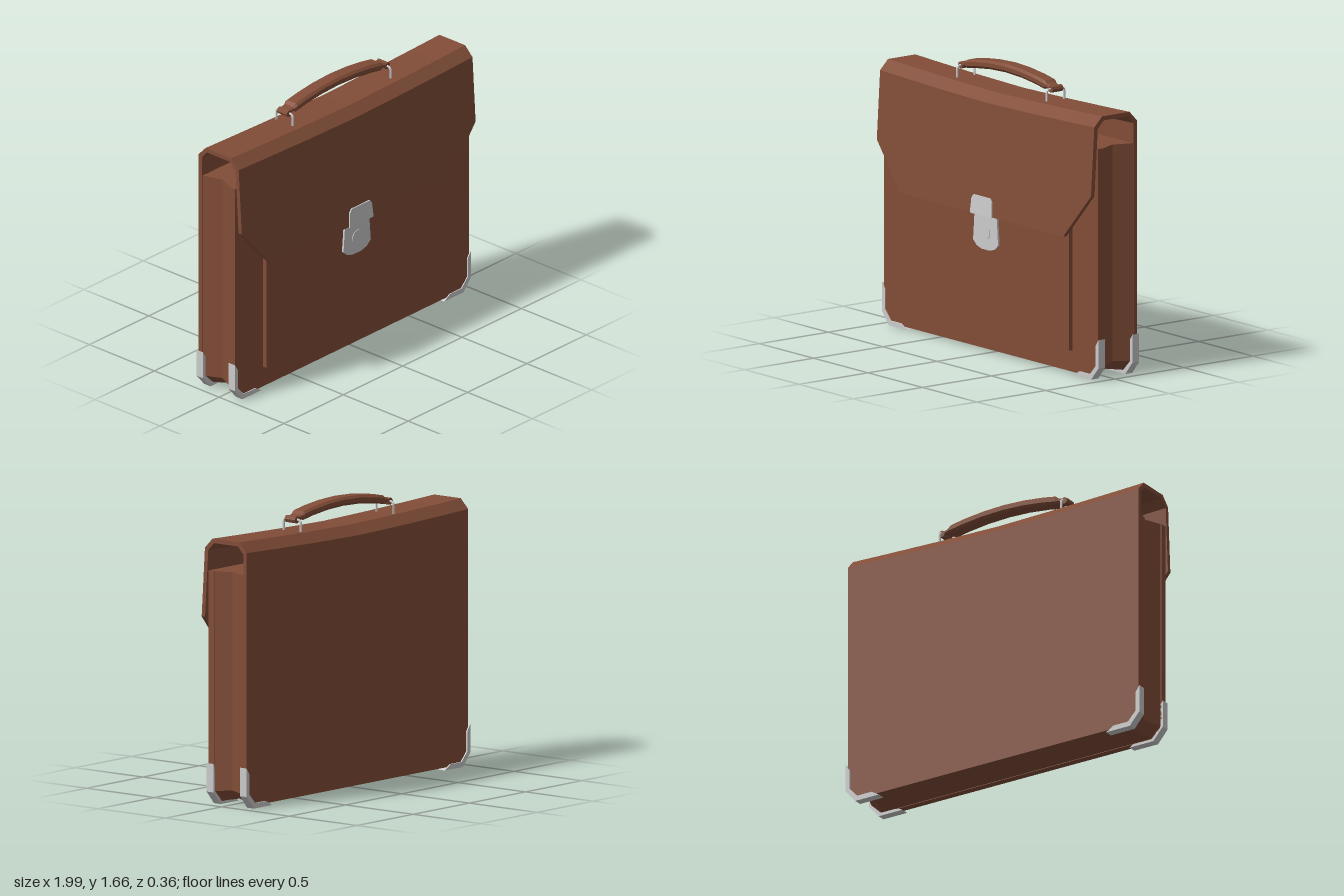
import * as THREE from 'three';

const leather = new THREE.MeshStandardMaterial({ color: 0x824d38, flatShading: true, side: THREE.DoubleSide });
const metal = new THREE.MeshStandardMaterial({ color: 0xcccccc, flatShading: true });

// Skin closed rings of [x, y, z] points and cap both ends with paired strips
function loft(rings) {
  const n = rings[0].length, index = [];
  const quad = (a, b, c, d) => index.push(a, b, c, a, c, d);
  for (let r = 0; r < rings.length - 1; r++) {
    for (let i = 0; i < n; i++) {
      const j = (i + 1) % n;
      quad(r * n + i, r * n + j, (r + 1) * n + j, (r + 1) * n + i);
    }
  }
  const last = (rings.length - 1) * n;
  for (let i = 0; i < n / 2 - 1; i++) {
    quad(last + i, last + i + 1, last + n - 2 - i, last + n - 1 - i);
    quad(n - 1 - i, n - 2 - i, i + 1, i);
  }
  const g = new THREE.BufferGeometry();
  g.setAttribute('position', new THREE.Float32BufferAttribute(rings.flat(2), 3));
  g.setIndex(index);
  const flat = g.toNonIndexed();
  flat.computeVertexNormals();
  return flat;
}

function extrude(points, depth) {
  const shape = new THREE.Shape(points.map(([x, y]) => new THREE.Vector2(x, y)));
  return new THREE.ExtrudeGeometry(shape, { depth, bevelEnabled: false });
}

function add(parent, name, geometry, material, x = 0, y = 0, z = 0) {
  const mesh = new THREE.Mesh(geometry, material);
  mesh.name = name;
  mesh.position.set(x, y, z);
  parent.add(mesh);
  return mesh;
}

// U-shaped outline with cut lower corners
function outline(inset, lift) {
  const half = [[0.92 - inset, 0.015 + lift], [0.985 - inset, 0.08 + lift * 0.5], [0.985 - inset, 1.35]];
  return [...half.map(([x, y]) => [-x, y]).reverse(), ...half];
}

// Back panel, folded top and front flap as one bent sheet
function coverGeometry() {
  const side = [0.985, 0.92, 0.75, 0.4];
  const stations = [...side.map(x => -x), 0, ...side.slice().reverse()];
  return loft(stations.map(x => {
    const ax = Math.abs(x);
    const sag = 0.025 * (1 - Math.pow(ax / 0.985, 1.4));
    const bottom = ax > 0.92 ? 0.015 + (ax - 0.92) : 0.015;
    const end = ax > 0.75 ? 0.81 + (ax - 0.75) * 1.15 : 0.81;
    const front = 0.137 + (1.48 - end) * 0.06;
    const outer = [[bottom, -0.172], [1.48 - sag, -0.172], [1.537 - sag, -0.118],
      [1.537 - sag, 0.08], [1.48 - sag, 0.137], [end, front]];
    const inner = [[bottom, -0.147], [1.468 - sag, -0.147], [1.512 - sag, -0.108],
      [1.512 - sag, 0.07], [1.468 - sag, 0.112], [end, front - 0.025]];
    return [...outer, ...inner.reverse()].map(([y, z]) => [x, y, z]);
  }));
}

// Arched grip with an eight-sided section, slimmer towards its ends
function gripGeometry() {
  const xs = [-0.43, -0.375, -0.355, -0.27, -0.14, 0, 0.14, 0.27, 0.355, 0.375, 0.43];
  return loft(xs.map(x => {
    const ax = Math.abs(x), slim = ax > 0.36;
    const cy = 1.64 - 0.05 * Math.pow(ax / 0.42, 2);
    const h = slim ? 0.013 : 0.025, w = slim ? 0.038 : 0.047;
    const a = h * 0.45, b = w * 0.72;
    return [[-a, -w], [a, -w], [h, -b], [h, b], [a, w], [-a, w], [-h, b], [-h, -b]]
      .map(([y, z]) => [x, cy + y, -0.033 + z]);
  }));
}

export function createModel() {
  const model = new THREE.Group();
  model.name = 'briefcase';

  // Case
  add(model, 'coverAndFlap', coverGeometry(), leather);
  add(model, 'frontPanel', extrude(outline(0, 0), 0.044), leather, 0, 0, 0.066);
  const folds = [[0.004, 0.003, -0.15], [0.045, 0.02, -0.03], [0.004, 0.003, 0.068]];
  add(model, 'foldedGusset', loft(folds.map(([inset, lift, z]) =>
    outline(inset, lift).map(([x, y]) => [x, y, z]))), leather);
  add(model, 'frontPocket', new THREE.BoxGeometry(1.5, 0.75, 0.03), leather, 0, 0.515, 0.122);

  // Metal corner guards
  for (const s of [-1, 1]) {
    const guard = [[0.77, 0], [0.93, 0], [0.995, 0.075], [0.995, 0.24], [0.968, 0.2],
      [0.968, 0.085], [0.918, 0.03], [0.82, 0.03]].map(([x, y]) => [s * x, y]);
    for (const z of [0.066, -0.18]) add(model, 'cornerGuard', extrude(guard, 0.05), metal, 0, 0, z);
  }

  // Clasp
  const clasp = new THREE.Group();
  clasp.name = 'clasp';
  model.add(clasp);
  const lower = [[-0.1, 0.83], [-0.115, 0.645], [-0.08, 0.615], [-0.035, 0.603],
    [0.035, 0.603], [0.08, 0.615], [0.115, 0.645], [0.1, 0.83]];
  add(clasp, 'claspPlate', extrude(lower, 0.014), metal, 0, 0, 0.135);
  const upper = [[-0.1, 0], [0.1, 0], [0.092, 0.09], [0.075, 0.11], [-0.075, 0.11], [-0.092, 0.09]];
  add(clasp, 'claspTongue', extrude(upper, 0.04), metal, 0, 0.805, 0.145).rotation.x = -0.06;
  const lock = new THREE.CylinderGeometry(0.042, 0.042, 0.01, 20).rotateX(Math.PI / 2);
  add(clasp, 'lockButton', lock, metal, 0, 0.705, 0.148);

  // Handle with end loops and wire brackets
  const handle = new THREE.Group();
  handle.name = 'handle';
  model.add(handle);
  add(handle, 'grip', gripGeometry(), leather);
  for (const s of [-1, 1]) {
    const loop = new THREE.CylinderGeometry(0.021, 0.021, 0.076, 8).rotateX(Math.PI / 2);
    add(handle, 'gripLoop', loop, leather, s * 0.415, 1.588, -0.033);
    const wire = new THREE.CurvePath();
    const p = [[1.51, 0.03], [1.575, 0.03], [1.588, 0.018], [1.588, -0.084], [1.575, -0.096], [1.51, -0.096]]
      .map(([y, z]) => new THREE.Vector3(s * 0.412, y, z));
    for (let i = 0; i < p.length - 1; i++) wire.add(new THREE.LineCurve3(p[i], p[i + 1]));
    add(handle, 'wireBracket', new THREE.TubeGeometry(wire, 40, 0.007, 6), metal);
  }
  return model;
}
